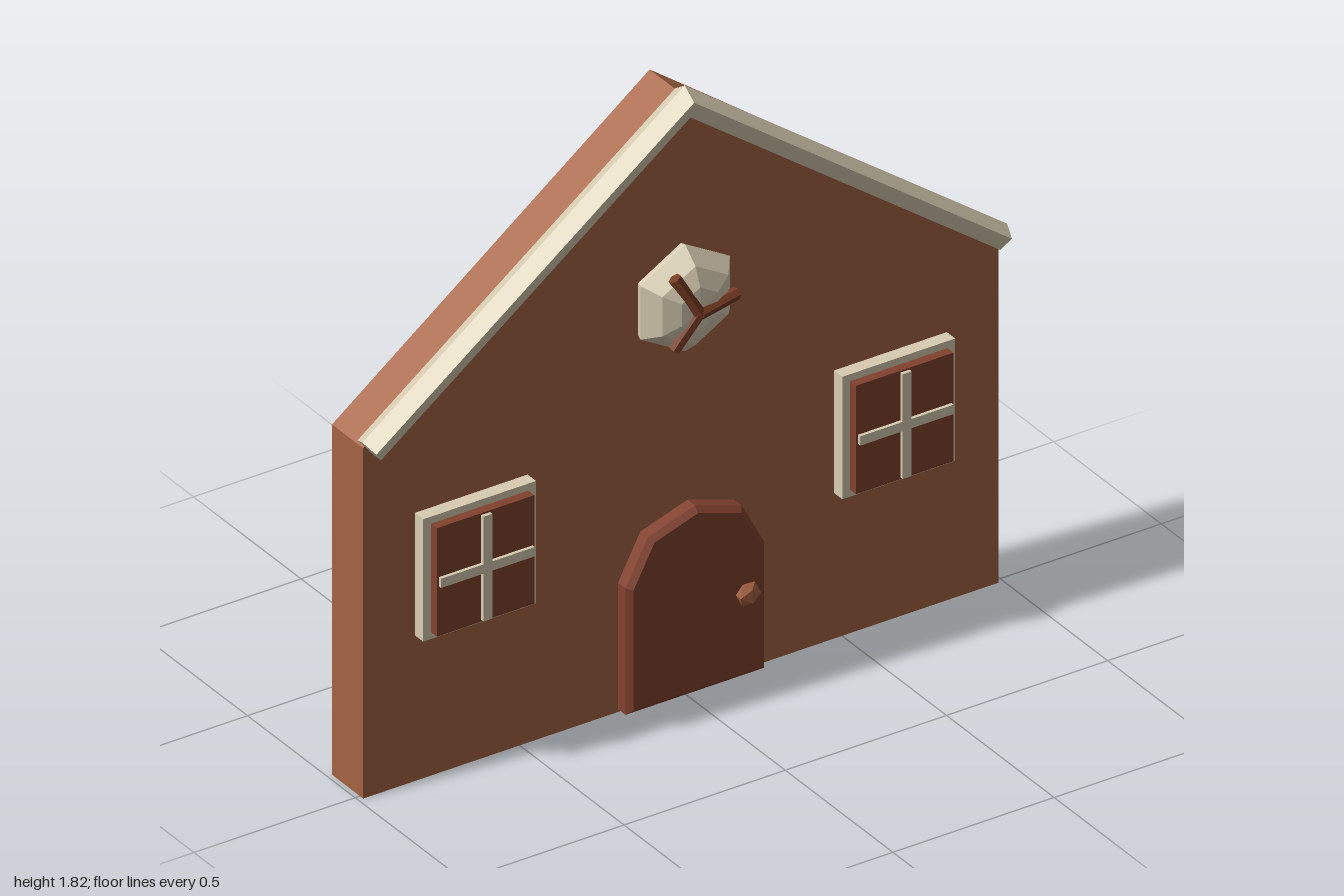
import * as THREE from 'three';

const paint = (name, color) => {
  const m = new THREE.MeshStandardMaterial({ color });
  m.name = name;
  return m;
};

// Unshared vertices with per-face normals for crisp facets
function faceted(geometry) {
  const g = geometry.index ? geometry.toNonIndexed() : geometry;
  g.computeVertexNormals();
  return g;
}

function shapeFrom(points) {
  return new THREE.Shape(points.map(([x, y]) => new THREE.Vector2(x, y)));
}

// Five-sided moulding swept over the gable, mitred at the ridge
function gableTrimGeometry() {
  // [depth below the ridge line, z]
  const profile = [[0, 0.033], [0.024, 0.077], [0.066, 0.06], [0.066, 0.005], [0.024, -0.011]];
  const n = profile.length;
  const positions = [];
  const index = [];
  for (const side of [-1, 0, 1]) {
    for (const [d, z] of profile) {
      if (side === 0) positions.push(0, 1.822 - d / 0.8, z);
      else positions.push(side * (1 - 0.6 * d), 1.08 - 0.8 * d, z);
    }
  }
  for (let s = 0; s < 2; s++) {
    for (let j = 0; j < n; j++) {
      const a = s * n + j, b = s * n + (j + 1) % n;
      index.push(a, b, b + n, a, b + n, a + n);
    }
  }
  for (let j = 1; j < n - 1; j++) {
    index.push(0, j + 1, j);
    index.push(2 * n, 2 * n + j, 2 * n + j + 1);
  }
  const g = new THREE.BufferGeometry();
  g.setAttribute('position', new THREE.Float32BufferAttribute(positions, 3));
  g.setIndex(index);
  return faceted(g);
}

export function createModel() {
  const clay = paint('clay wall', 0xa56443);
  const cream = paint('cream trim', 0xd8cdb2);
  const redBrown = paint('red brown wood', 0x82412e);
  const darkBrown = paint('dark brown bars', 0x783c25);
  const copper = paint('copper knob', 0xa2603f);

  const house = new THREE.Group();
  house.name = 'houseFront';
  const add = (parent, name, geometry, material, x = 0, y = 0, z = 0) => {
    const mesh = new THREE.Mesh(geometry, material);
    mesh.name = name;
    mesh.position.set(x, y, z);
    parent.add(mesh);
    return mesh;
  };

  // Gabled wall slab
  const wallShape = shapeFrom([[-0.985, 0], [0.985, 0], [0.985, 1.05], [0, 1.79], [-0.985, 1.05]]);
  add(house, 'wall', new THREE.ExtrudeGeometry(wallShape, { depth: 0.145, bevelEnabled: false }),
    clay, 0, 0, -0.13);
  add(house, 'gableTrim', gableTrimGeometry(), cream);

  // Square windows: frame, raised pane and cross bars
  for (const side of [-1, 1]) {
    const win = new THREE.Group();
    win.name = side > 0 ? 'leftWindow' : 'rightWindow';
    win.position.set(side * 0.65, 0.62, 0);
    add(win, 'windowFrame', new THREE.BoxGeometry(0.35, 0.367, 0.043), cream, 0, 0, 0.0325);
    add(win, 'windowPane', new THREE.BoxGeometry(0.302, 0.325, 0.03), redBrown, 0, 0, 0.067);
    add(win, 'uprightBar', new THREE.BoxGeometry(0.028, 0.314, 0.015), cream, 0, 0, 0.085);
    add(win, 'crossBar', new THREE.BoxGeometry(0.29, 0.028, 0.014), cream, 0, 0, 0.085);
    house.add(win);
  }

  // Arched door with chamfered edges
  const door = new THREE.Group();
  door.name = 'door';
  const doorShape = shapeFrom([
    [-0.2, 0.045], [0.2, 0.045], [0.2, 0.405], [0.135, 0.527], [0, 0.571], [-0.135, 0.527], [-0.2, 0.405],
  ]);
  add(door, 'doorPanel', new THREE.ExtrudeGeometry(doorShape, {
    depth: 0.035, bevelSize: 0.015, bevelThickness: 0.015, bevelSegments: 1,
  }), redBrown, 0, 0, 0.045);
  const knob = add(door, 'doorKnob', new THREE.IcosahedronGeometry(0.037, 0), copper, 0.145, 0.29, 0.112);
  knob.scale.z = 0.6;
  house.add(door);

  // Six-sided domed attic window
  const attic = new THREE.Group();
  attic.name = 'atticWindow';
  attic.position.set(0, 1.187, 0);
  const domeProfile = [[0.15, 0], [0.16, 0.035], [0.118, 0.083], [0.065, 0.105], [0, 0.112]]
    .map(([r, h]) => new THREE.Vector2(r, h));
  add(attic, 'dome', faceted(new THREE.LatheGeometry(domeProfile, 6).rotateX(Math.PI / 2)), cream);

  // Three bars radiating over the dome
  const hub = new THREE.Vector3(-0.005, -0.01, 0.108);
  const up = new THREE.Vector3(0, 1, 0);
  for (let i = 0; i < 3; i++) {
    const a = i * Math.PI * 2 / 3;
    const tip = new THREE.Vector3(0.128 * Math.cos(a), 0.123 * Math.sin(a) - 0.005, 0.082);
    const dir = tip.clone().sub(hub);
    const bar = add(attic, 'atticBar', faceted(new THREE.CylinderGeometry(0.018, 0.018, dir.length(), 6)), darkBrown);
    bar.position.copy(hub).add(tip).multiplyScalar(0.5);
    bar.quaternion.setFromUnitVectors(up, dir.normalize());
  }
  add(attic, 'atticHub', new THREE.IcosahedronGeometry(0.02, 0), darkBrown, hub.x, hub.y, hub.z - 0.002);
  house.add(attic);

  return house;
}
